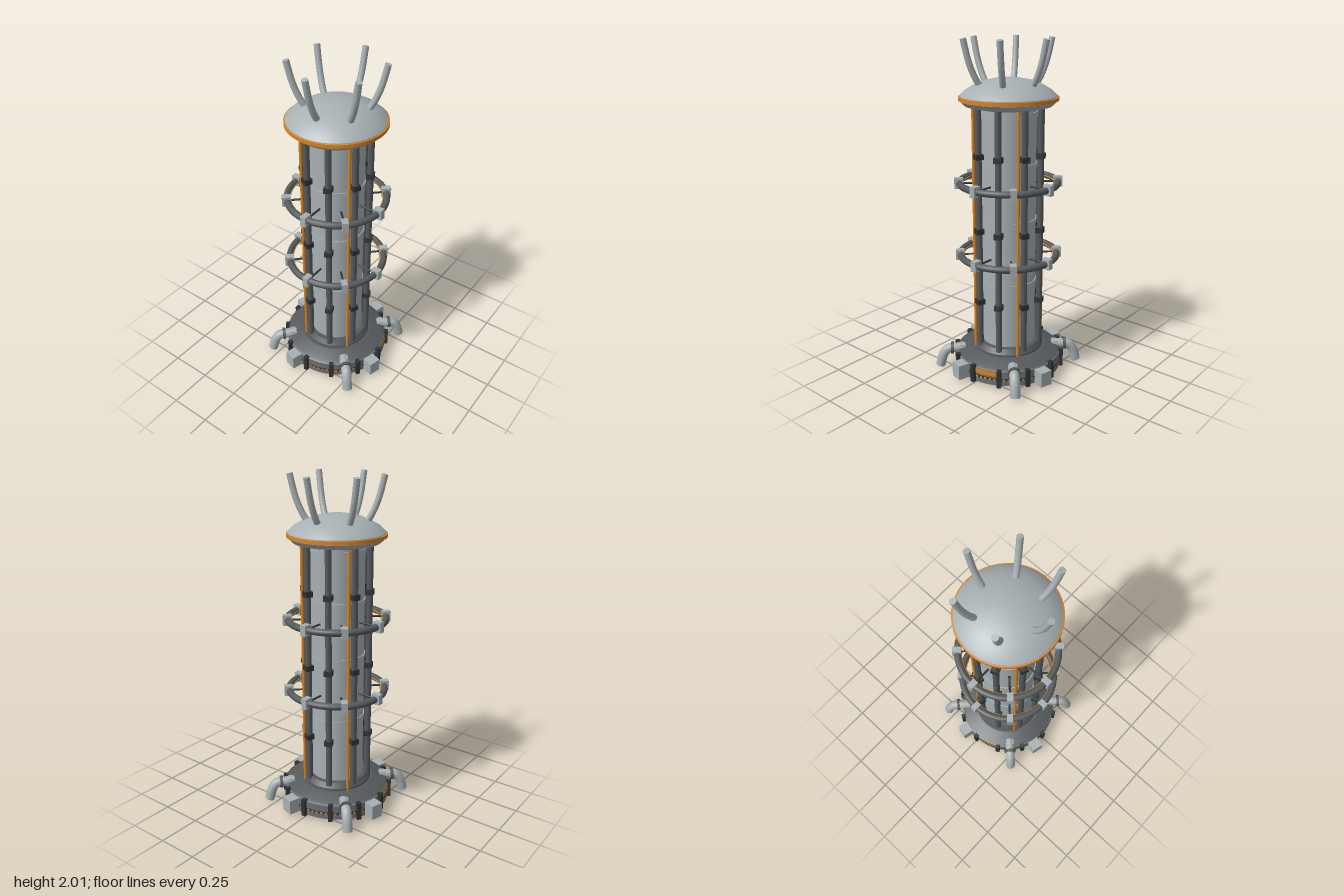
import * as THREE from 'three';
import { toCreasedNormals } from 'three/addons/utils/BufferGeometryUtils.js';

const mat = (name, color) => {
  const m = new THREE.MeshStandardMaterial({ color, side: THREE.DoubleSide });
  m.name = name;
  return m;
};

export function createModel() {
  const light = mat('light grey metal', 0xa7b0b3);
  const mid = mat('mid grey metal', 0x6c7072);
  const dark = mat('dark grey metal', 0x565a5c);
  const black = mat('black metal', 0x303436);
  const orange = mat('orange trim', 0xd9831f);
  const model = new THREE.Group();

  const add = (name, geometry, material, parent = model) => {
    const m = new THREE.Mesh(geometry, material);
    m.name = name;
    parent.add(m);
    return m;
  };
  const lathe = (name, pts, material, crease = 0.5) =>
    add(name, toCreasedNormals(new THREE.LatheGeometry(pts.map(p => new THREE.Vector2(...p)), 48), crease), material);
  // Repeats parts around the axis; each group's +z points outward
  const around = (name, count, offsetDeg, build) => {
    for (let i = 0; i < count; i++) {
      const g = new THREE.Group();
      g.name = name;
      g.rotation.y = THREE.MathUtils.degToRad(offsetDeg + i * 360 / count);
      build(g);
      model.add(g);
    }
  };
  const box = (name, w, h, d, y, z, material, parent) =>
    add(name, new THREE.BoxGeometry(w, h, d), material, parent).position.set(0, y, z);
  const post = (name, r, y0, y1, z, material, parent) =>
    add(name, new THREE.CylinderGeometry(r, r, y1 - y0, 12), material, parent).position.set(0, (y0 + y1) / 2, z);
  const tube = (name, pts, r, material, parent) => {
    const curve = new THREE.CatmullRomCurve3(pts.map(([y, z]) => new THREE.Vector3(0, y, z)));
    add(name, new THREE.TubeGeometry(curve, 16, r, 14), material, parent);
    // Flat end caps
    [0, 1].forEach(t => {
      const cap = add(name + 'Cap', new THREE.CircleGeometry(r, 14), material, parent);
      cap.position.copy(curve.getPoint(t));
      const dir = curve.getTangent(t).multiplyScalar(t ? 1 : -1);
      cap.quaternion.setFromUnitVectors(new THREE.Vector3(0, 0, 1), dir);
    });
  };

  // Hollow base skirt
  lathe('baseShell', [[0.285, 0.015], [0.322, 0.015], [0.322, 0.105], [0.305, 0.115], [0.22, 0.14], [0.185, 0.14]], mid, 0.3);
  lathe('baseTopPlate', [[0.317, 0.112], [0.3, 0.121], [0.225, 0.145], [0.17, 0.145]], dark, 0.3);
  lathe('baseInterior', [[0.13, 0.1], [0.285, 0.1], [0.285, 0.015]], black);
  lathe('columnCollar', [[0.21, 0.14], [0.21, 0.155], [0.19, 0.185], [0.15, 0.185]], dark);

  // Recessed outlet underneath
  lathe('outletRim', [[0.135, 0.11], [0.135, 0.06], [0.16, 0.06], [0.16, 0.11]], light);
  lathe('outletCore', [[0, 0.11], [0.136, 0.085]], orange);

  // Ribs, boxes and bent pipes on the base
  around('baseRib', 12, 0, g => {
    box('ribPost', 0.026, 0.11, 0.028, 0.065, 0.328, black, g);
  });
  around('baseBox', 4, -15, g => box('equipmentBox', 0.075, 0.09, 0.085, 0.06, 0.345, light, g));
  around('outletPipe', 4, 45, g => {
    tube('bentPipe', [[0.115, 0.27], [0.115, 0.34], [0.109, 0.38], [0.075, 0.407], [0.003, 0.428]], 0.03, light, g);
    const flange = add('pipeFlange', new THREE.CylinderGeometry(0.038, 0.038, 0.018, 20), dark, g);
    flange.rotation.x = Math.PI / 2;
    flange.position.set(0, 0.115, 0.352);
    box('pipeMount', 0.05, 0.05, 0.03, 0.115, 0.293, light, g);
  });

  // Painted warning dashes and panels on the skirt
  const arc = (name, r, y, h, deg, material, parent) =>
    add(name, new THREE.CylinderGeometry(r, r, h, 8, 1, true, THREE.MathUtils.degToRad(-deg / 2), THREE.MathUtils.degToRad(deg)),
      material, parent).position.y = y;
  arc('warningBand', 0.3245, 0.055, 0.016, 360, black, model);
  model.getObjectByName('warningBand').geometry = new THREE.CylinderGeometry(0.3245, 0.3245, 0.016, 48, 1, true);
  around('warningDash', 72, 0, g => arc('dash', 0.327, 0.055, 0.012, 2.6, orange, g));
  around('basePanel', 2, 15, g => arc('panel', 0.327, 0.09, 0.03, 24, orange, g));

  // Central column with raised bands
  lathe('column', [[0.161, 0.1], [0.161, 1.62]], light);
  [0.566, 0.952, 1.286, 1.58].forEach(y => {
    lathe('columnBand', [[0.16, y - 0.014], [0.167, y - 0.014], [0.167, y + 0.014], [0.16, y + 0.014]], light);
  });

  // Dark rods with clamps, and thin orange conduits
  around('columnRod', 8, 22.5, g => {
    post('rod', 0.019, 0.17, 1.63, 0.193, dark, g);
    [0.456, 0.9, 1.344].forEach(y => box('rodClamp', 0.046, 0.032, 0.046, y, 0.193, black, g));
  });
  around('conduit', 4, -35, g => post('orangeConduit', 0.009, 0.14, 1.63, 0.208, orange, g));

  // Two outer hoops with blocks and struts
  [0.735, 1.175].forEach(y => {
    const hoop = add('hoop', new THREE.TorusGeometry(0.288, 0.02, 12, 64), dark);
    hoop.rotation.x = Math.PI / 2;
    hoop.position.y = y;
    const trim = add('hoopTrim', new THREE.TorusGeometry(0.268, 0.004, 6, 64), orange);
    trim.rotation.x = Math.PI / 2;
    trim.position.y = y;
    around('hoopMount', 8, 0, g => {
      box('hoopBlock', 0.036, 0.062, 0.052, y, 0.291, light, g);
      const strut = add('strut', new THREE.CylinderGeometry(0.006, 0.006, 0.12, 8), black, g);
      strut.rotation.x = Math.PI / 2;
      strut.position.set(0, y, 0.215);
    });
  });

  // Domed cap
  lathe('cap', [[0, 1.61], [0.18, 1.61], [0.25, 1.625], [0.278, 1.652], [0.278, 1.68], [0.25, 1.708],
    [0.2, 1.738], [0.14, 1.762], [0.07, 1.777], [0, 1.782]], light, 0.4);
  lathe('capTrim', [[0.27, 1.652], [0.286, 1.655], [0.286, 1.675], [0.27, 1.678]], orange);

  // Antennas
  around('antenna', 6, 30, g =>
    tube('antennaTube', [[1.725, 0.162], [1.79, 0.2], [1.87, 0.232], [1.996, 0.263]], 0.018, light, g));

  return model;
}
